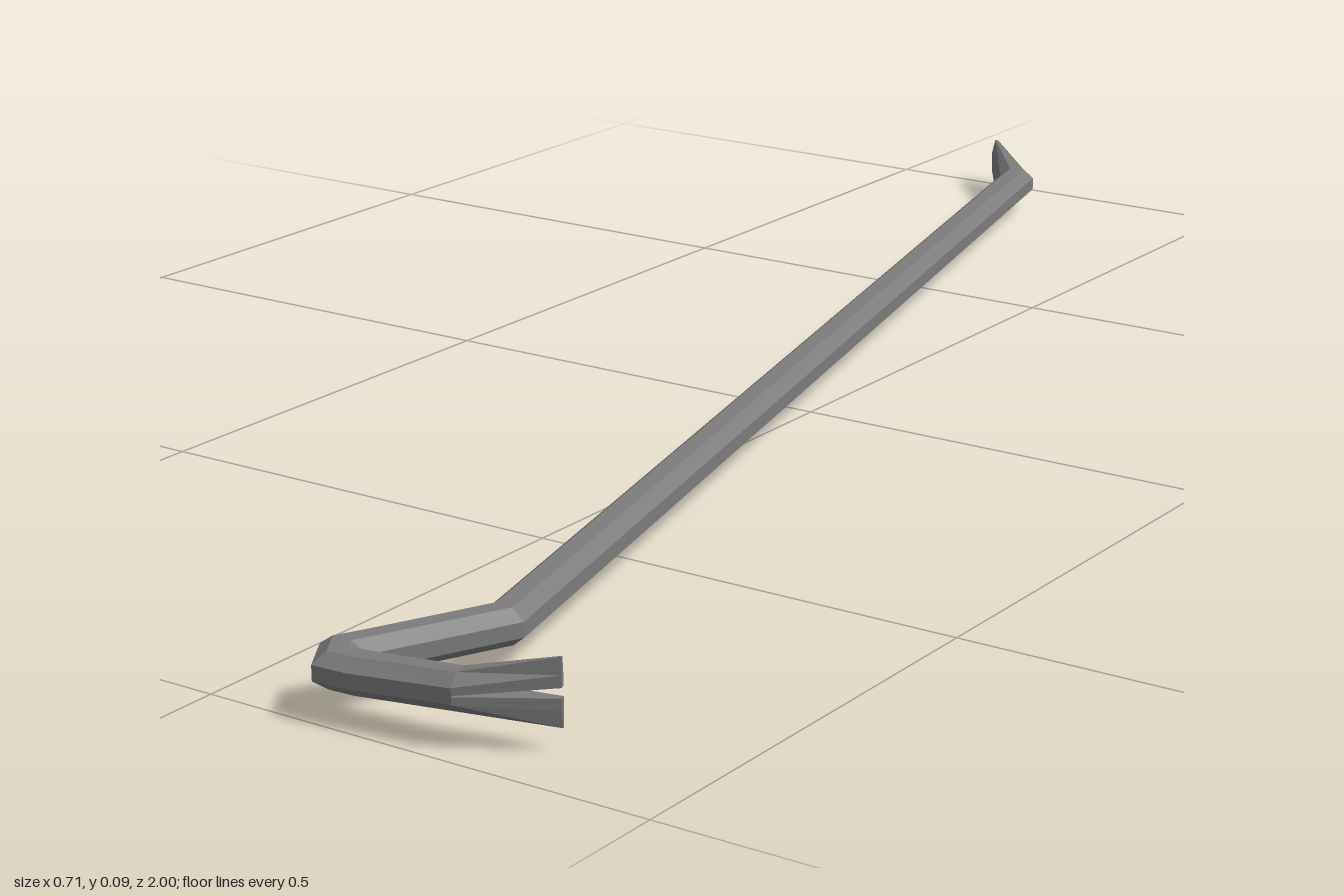
import * as THREE from 'three';

const material = new THREE.MeshStandardMaterial({ color: 0x7c7c7c, flatShading: true });

// Unit cross-sections, counter-clockwise: x is across the bar, y is up
const K = 0.414;
const OCTAGON = [[1, -K], [1, K], [K, 1], [-K, 1], [-1, K], [-1, -K], [-K, -1], [K, -1]];
const HALF = [[1, 0], [1, K], [K, 1], [-K, 1], [-1, K], [-1, 0]];

// Stations along the bar: centre, half width w, half height h
const W = 0.023, H = 0.019;
const stations = [
  { x: -0.347, y: 0.033, z: -0.993, w: 0.004, h: 0.033, bulge: -0.01 },
  { x: -0.262, y: 0.036, z: -0.905, w: W, h: H, square: true },
  { x: 0.196, y: 0.05, z: 0.81, w: W, h: H },
];
// Hook bend: an arc pushed out towards its corner
for (let i = 0; i < 4; i++) {
  const a = THREE.MathUtils.degToRad(209 - 41 * i);
  const r = 0.028 + 0.01 * Math.sin((Math.PI * i) / 3);
  stations.push({ x: 0.157 + r * Math.cos(a), y: 0.048, z: 0.945 + r * Math.sin(a), w: W, h: H });
}
// Claw root and tip; gap is half the slot height
stations.push(
  { x: 0.265, y: 0.053, z: 0.961, w: 0.02, h: H, gap: 0.0005 },
  { x: 0.353, y: 0.058, z: 0.927, w: 0.003, h: 0.034, gap: 0.005 },
);

// Give every station a mitred frame, or one square to the part that follows
const heading = (a, b) => new THREE.Vector3(b.x - a.x, 0, b.z - a.z).normalize();
stations.forEach((s, i) => {
  const last = stations.length - 1;
  const after = heading(stations[Math.min(i, last - 1)], stations[Math.min(i + 1, last)]);
  const before = s.square ? after : heading(stations[Math.max(i - 1, 0)], stations[Math.max(i, 1)]);
  s.dir = before.clone().add(after).normalize();
  s.side = new THREE.Vector3(s.dir.z, 0, -s.dir.x).divideScalar(s.dir.dot(after));
});

// Octagonal ring; the bulge rounds the cutting edge
const barRing = (s) => OCTAGON.map(([u, v]) =>
  new THREE.Vector3(s.x, s.y + v * s.h, s.z)
    .addScaledVector(s.side, u * s.w)
    .addScaledVector(s.dir, (s.bulge || 0) * (1 - v * v)));

// Half ring above (sign 1) or below (sign -1) the claw slot
const prongRing = (sign) => (s) => HALF.map(([u, v]) =>
  new THREE.Vector3(s.x, s.y + sign * (s.gap + v * (s.h - s.gap)), s.z)
    .addScaledVector(s.side, sign * u * s.w));

// Skin a run of stations and close both ends
function loft(name, from, to, ringAt) {
  const rings = stations.slice(from, to + 1).map(ringAt);
  const n = rings[0].length;
  const points = [];
  for (let i = 0; i < rings.length - 1; i++) {
    for (let j = 0; j < n; j++) {
      const k = (j + 1) % n;
      const [a, b, c, d] = [rings[i][j], rings[i][k], rings[i + 1][k], rings[i + 1][j]];
      points.push(a, b, c, a, c, d);
    }
  }
  const first = rings[0], end = rings[rings.length - 1];
  for (let j = 1; j < n - 1; j++) {
    points.push(first[0], first[j + 1], first[j], end[0], end[j], end[j + 1]);
  }
  const geometry = new THREE.BufferGeometry().setFromPoints(points);
  geometry.computeVertexNormals();
  const mesh = new THREE.Mesh(geometry, material);
  mesh.name = name;
  return mesh;
}

export function createModel() {
  const crowbar = new THREE.Group();
  crowbar.name = 'crowbar';
  const tip = stations.length - 1, root = tip - 1;
  crowbar.add(
    loft('chiselEnd', 0, 1, barRing),
    loft('shaft', 1, 2, barRing),
    loft('hook', 2, root, barRing),
    loft('upperClawProng', root, tip, prongRing(1)),
    loft('lowerClawProng', root, tip, prongRing(-1)),
  );
  return crowbar;
}
